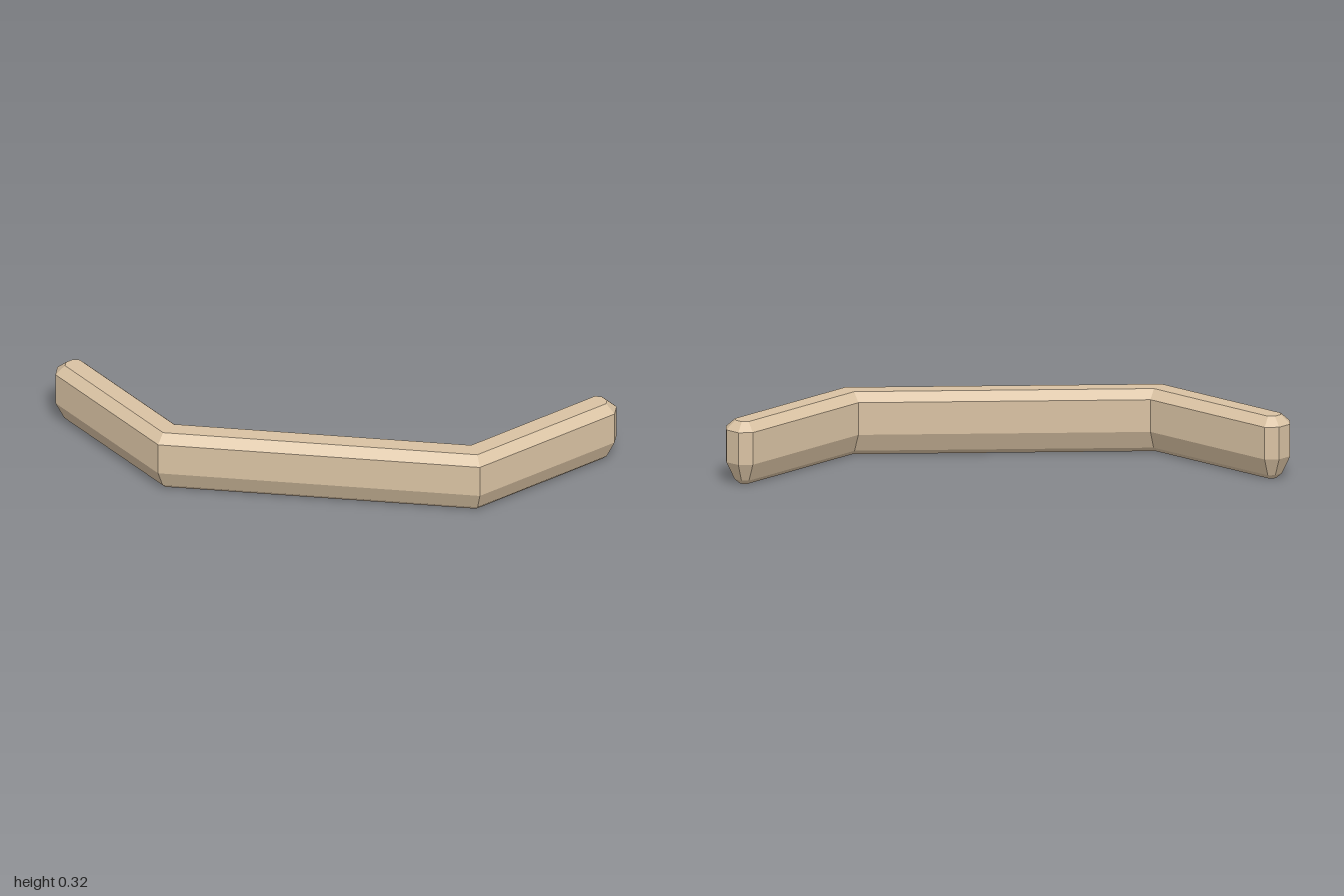
import * as THREE from 'three';

// Plan outline (x, z) of the bent bar at its widest; both ends have clipped corners
const outline = [
  [-1, -0.95], [-1, -0.122], [0.122, 1], [0.95, 1], [1, 0.95], [1, 0.87],
  [0.95, 0.82], [0.19, 0.82], [-0.82, -0.19], [-0.82, -0.95], [-0.87, -1], [-0.95, -1],
].map(([x, z]) => new THREE.Vector2(x, z));

// Height and inset of each level, from the narrow underside to the bevelled top
const levels = [[0, 0.066], [0.024, 0.041], [0.115, 0], [0.278, 0], [0.322, 0.045]];

// Moves every edge of the outline inward by d, keeping the corners mitred
function inset(points, d) {
  const n = points.length;
  const normals = points.map((p, i) => {
    const e = points[(i + 1) % n].clone().sub(p).normalize();
    return new THREE.Vector2(e.y, -e.x);
  });
  return points.map((p, i) => {
    const a = normals[(i + n - 1) % n], b = normals[i];
    return p.clone().addScaledVector(a.clone().add(b), d / (1 + a.dot(b)));
  });
}

function buildBar() {
  const rings = levels.map(([y, d]) =>
    inset(outline, d).map((p) => new THREE.Vector3(p.x, y, p.y)));
  const n = outline.length;
  const positions = [];
  const triangle = (...corners) => corners.forEach((c) => positions.push(c.x, c.y, c.z));

  // Side bands between neighbouring levels
  for (let k = 0; k < rings.length - 1; k++) {
    for (let i = 0; i < n; i++) {
      const j = (i + 1) % n, lo = rings[k], hi = rings[k + 1];
      triangle(lo[i], lo[j], hi[j]);
      triangle(lo[i], hi[j], hi[i]);
    }
  }

  // Underside and top faces
  for (const [ring, up] of [[rings[0], false], [rings[rings.length - 1], true]]) {
    const flat = ring.map((p) => new THREE.Vector2(p.x, p.z));
    for (const face of THREE.ShapeUtils.triangulateShape(flat, [])) {
      const [a, b, c] = face.map((i) => ring[i]);
      const facesUp = b.clone().sub(a).cross(c.clone().sub(a)).y > 0;
      if (facesUp === up) triangle(a, b, c);
      else triangle(a, c, b);
    }
  }

  const geometry = new THREE.BufferGeometry();
  geometry.setAttribute('position', new THREE.Float32BufferAttribute(positions, 3));
  geometry.computeVertexNormals(); // unshared corners give flat facets
  return geometry;
}

export function createModel() {
  const group = new THREE.Group();
  group.name = 'bentRail';
  const tan = new THREE.MeshStandardMaterial({ color: 0xd9c2a3 });
  tan.name = 'tan';
  const bar = new THREE.Mesh(buildBar(), tan);
  bar.name = 'bevelledBar';
  group.add(bar);
  return group;
}
